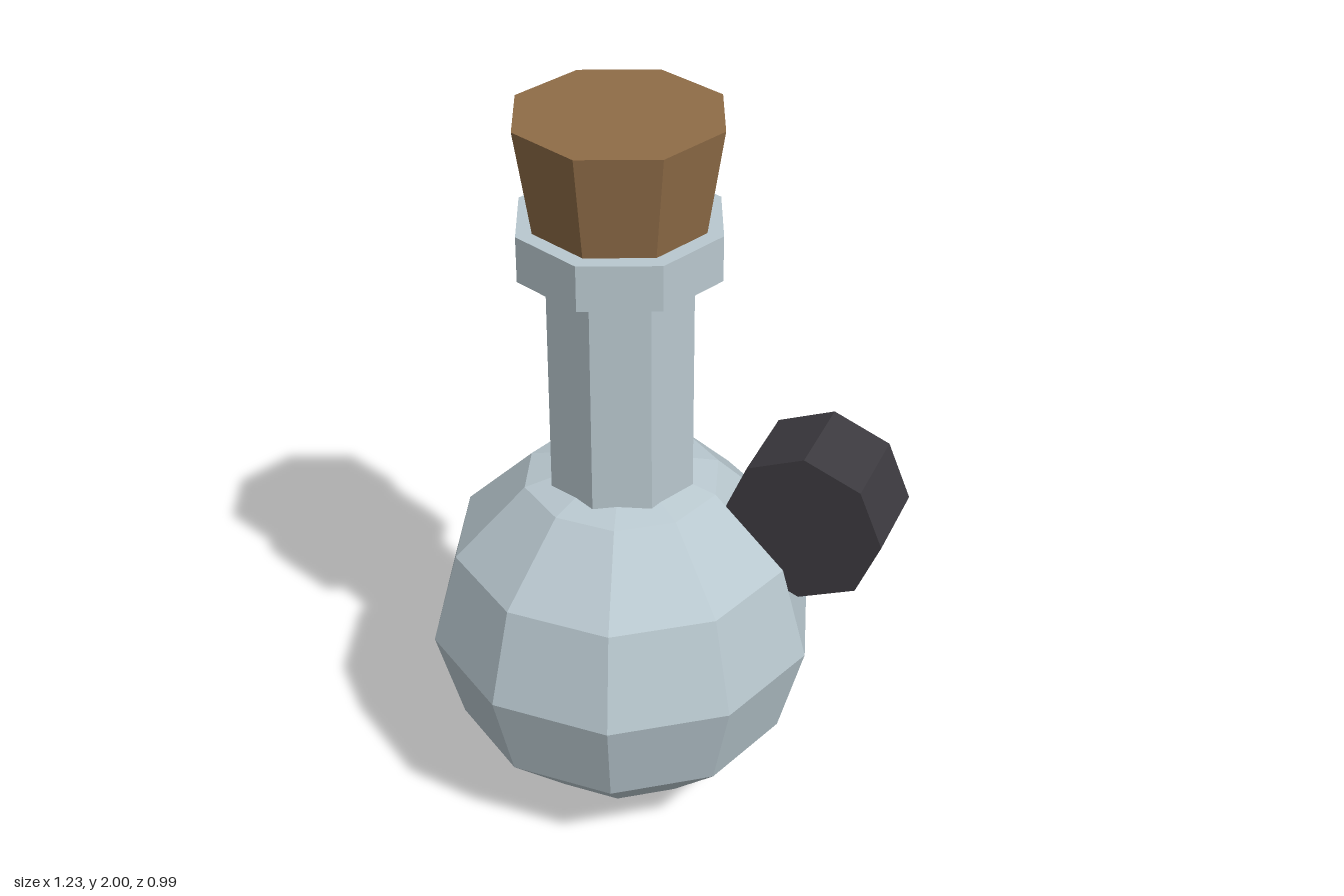
import * as THREE from 'three';

const mat = (color) => new THREE.MeshStandardMaterial({ color, flatShading: true });

export function createModel() {
  const glass = mat(0xb9c8cf);
  const corkBrown = mat(0x8f6c47);
  const dark = mat(0x3c3a3f);

  const model = new THREE.Group();
  model.name = 'corkedFlask';
  const flask = new THREE.Group();
  flask.name = 'flask';
  flask.position.x = -0.095;
  model.add(flask);

  const add = (parent, name, geometry, material, x, y, z) => {
    const mesh = new THREE.Mesh(geometry, material);
    mesh.name = name;
    mesh.position.set(x, y, z);
    parent.add(mesh);
    return mesh;
  };

  // Eight-sided prism or taper standing between two heights
  const ring = (name, rTop, rBottom, y0, y1, material) =>
    add(flask, name, new THREE.CylinderGeometry(rTop, rBottom, y1 - y0, 8), material, 0, (y0 + y1) / 2, 0);

  // Round faceted body
  add(flask, 'body', new THREE.SphereGeometry(0.52, 10, 6), glass, 0, 0.525, 0);

  // Neck, lip and stopper
  ring('neck', 0.197, 0.197, 0.95, 1.62, glass);
  ring('lip', 0.27, 0.27, 1.605, 1.727, glass);
  ring('cork', 0.27, 0.223, 1.7, 2, corkBrown);

  // Dark octagonal knob set into the shoulder, axis along z
  const knob = add(model, 'sideKnob', new THREE.CylinderGeometry(0.214, 0.214, 0.246, 8), dark, 0.399, 0.926, -0.123);
  knob.rotation.x = Math.PI / 2;

  return model;
}
